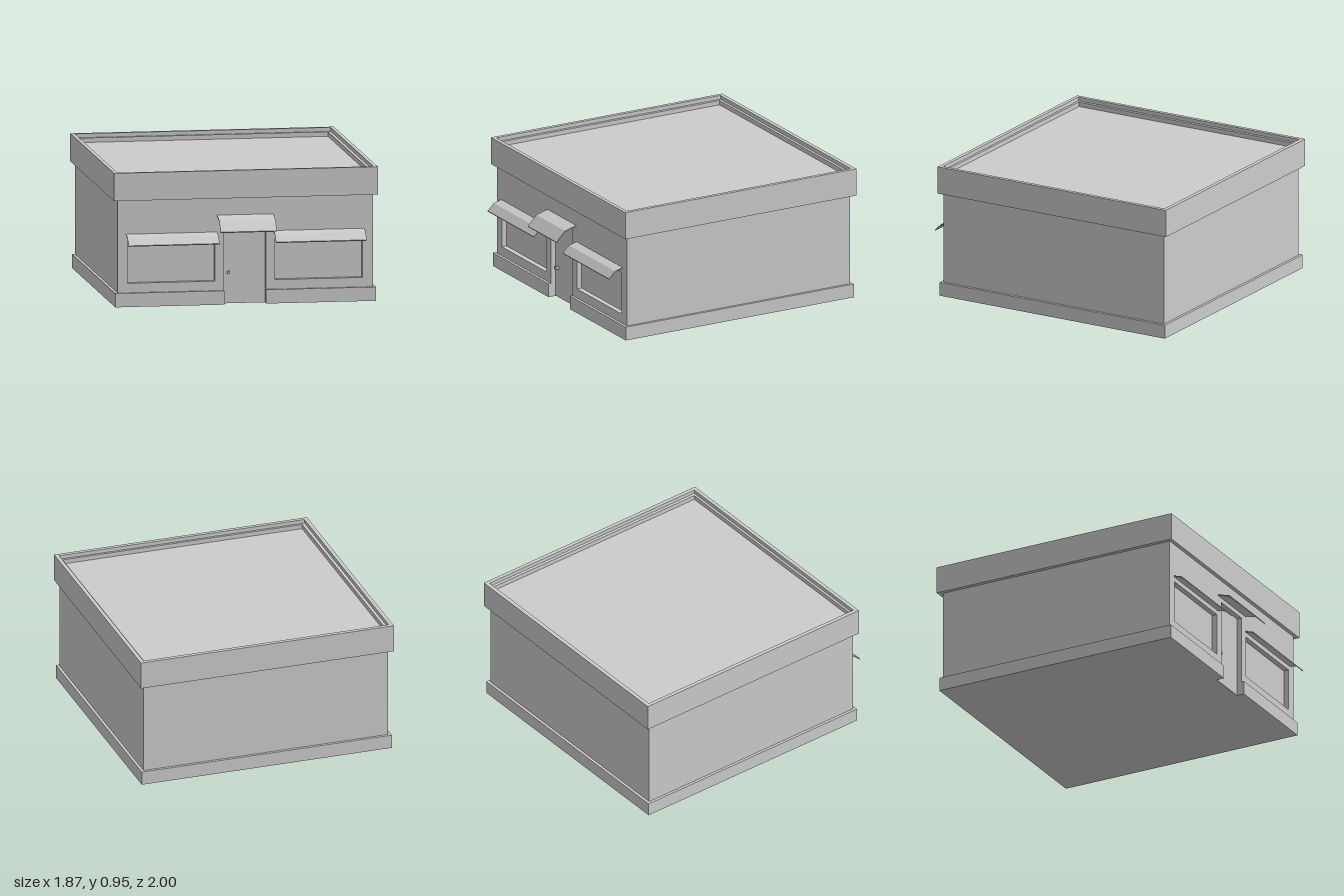
import * as THREE from 'three';

const grey = new THREE.MeshStandardMaterial({ color: 0xcccccc, flatShading: true, side: THREE.DoubleSide });

export function createModel() {
  const model = new THREE.Group();

  const add = (name, geometry) => {
    const mesh = new THREE.Mesh(geometry, grey);
    mesh.name = name;
    model.add(mesh);
    return mesh;
  };
  // Box from its lowest and highest corners
  const box = (name, [x0, y0, z0], [x1, y1, z1]) =>
    add(name, new THREE.BoxGeometry(x1 - x0, y1 - y0, z1 - z0))
      .position.set((x0 + x1) / 2, (y0 + y1) / 2, (z0 + z1) / 2);
  const polygon = (points) => points.map(([x, y]) => new THREE.Vector2(x, y));
  const rect = (x0, x1, y0, y1) => polygon([[x0, y0], [x1, y0], [x1, y1], [x0, y1]]);
  const extrude = (shape, depth) => new THREE.ExtrudeGeometry(shape, { depth, bevelEnabled: false });
  // Extrude a plan (x, -z) upwards from y0 to y1
  const plan = (name, shape, y0, y1) => {
    const mesh = add(name, extrude(shape, y1 - y0).rotateX(-Math.PI / 2));
    mesh.position.y = y0;
  };

  const doorL = -0.15, doorR = 0.145, doorTop = 0.59;
  const back = 0.80, front = 0.84;

  // Body behind the recessed front
  box('walls', [-0.905, 0.01, -0.965], [0.905, 0.88, back]);

  // Front wall with doorway and window openings
  const wall = new THREE.Shape(polygon([
    [-0.905, 0.01], [doorL, 0.01], [doorL, doorTop], [doorR, doorTop],
    [doorR, 0.01], [0.905, 0.01], [0.905, 0.88], [-0.905, 0.88],
  ]));
  for (const [x0, x1] of [[-0.835, -0.215], [0.21, 0.83]]) {
    wall.holes.push(new THREE.Path(rect(x0, x1, 0.165, 0.47)));
    box('windowPane', [x0, 0.165, back - 0.01], [x1, 0.47, back + 0.002]);
  }
  add('frontWall', extrude(wall, front - back)).position.z = back;

  // Door and knob
  box('door', [doorL, 0.002, back - 0.01], [doorR, doorTop, back + 0.003]);
  box('doorKnob', [-0.125, 0.21, back], [-0.105, 0.23, back + 0.025]);

  // Base course, notched at the doorway
  plan('plinth', new THREE.Shape(polygon([
    [-0.925, -0.86], [doorL, -0.86], [doorL, -back], [doorR, -back],
    [doorR, -0.86], [0.925, -0.86], [0.925, 0.985], [-0.925, 0.985],
  ])), 0, 0.098);

  // Parapet: tall outer rim with a lower inner ledge around the roof
  const ring = (name, x, z0, z1, xi, zi0, zi1, y0, y1) => {
    const shape = new THREE.Shape(rect(-x, x, -z1, -z0));
    shape.holes.push(new THREE.Path(rect(-xi, xi, -zi1, -zi0)));
    plan(name, shape, y0, y1);
  };
  ring('parapet', 0.935, -1, 0.87, 0.907, -0.97, 0.842, 0.753, 0.95);
  ring('parapetLedge', 0.907, -0.97, 0.842, 0.885, -0.95, 0.825, 0.86, 0.922);
  box('roof', [-0.89, 0.86, -0.955], [0.89, 0.89, 0.83]);

  // Bent thin awnings, side profile in (z, y)
  const awning = (name, x0, x1, profile) => {
    const t = 0.007;
    const under = profile.map(([z, y]) => [z - t * 0.5, y - t]).reverse();
    // Profile axis maps to +z, extrusion runs towards -x
    const geometry = extrude(new THREE.Shape(polygon([...profile, ...under])), x1 - x0).rotateY(-Math.PI / 2);
    add(name, geometry).position.x = x1;
  };
  const windowProfile = [[0.838, 0.513], [0.90, 0.495], [0.95, 0.447]];
  awning('windowAwning', -0.845, -0.2, windowProfile);
  awning('windowAwning', 0.2, 0.843, windowProfile);
  awning('doorAwning', -0.2, 0.198, [[0.838, 0.632], [0.93, 0.606], [1.0, 0.535]]);

  return model;
}
